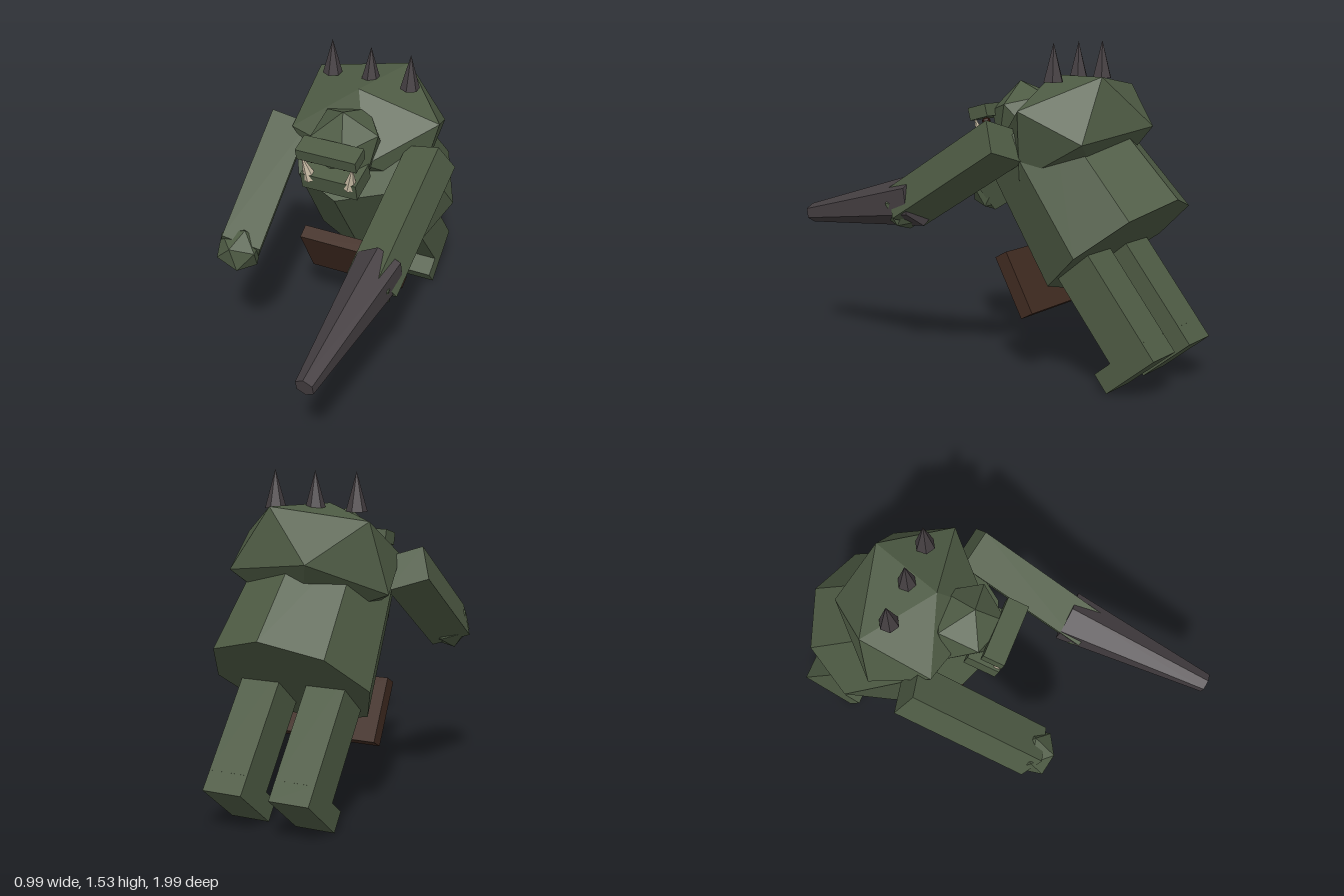
import * as THREE from 'three';

const material = (name, color) => {
  const m = new THREE.MeshStandardMaterial({ color });
  m.name = name;
  return m;
};

// Faceted copy of a geometry: one normal per face
const facet = (geometry) => {
  const g = geometry.index ? geometry.toNonIndexed() : geometry;
  g.computeVertexNormals();
  return g;
};

// Icosahedron with a vertex straight up and an upper-ring vertex on +x
const rock = () => {
  const g = new THREE.IcosahedronGeometry(1, 0);
  g.rotateX(-Math.atan((1 + Math.sqrt(5)) / 2));
  g.rotateY(Math.PI / 2);
  return facet(g);
};

const frustum = (top, bottom, height, sides) =>
  facet(new THREE.CylinderGeometry(top, bottom, height, sides));

const V = (x, y, z) => new THREE.Vector3(x, y, z);
const UP = V(0, 1, 0);

export function createModel() {
  const skin = material('green skin', 0x4e5b44);
  const leather = material('brown leather', 0x3f2a20);
  const stone = material('dark grey stone', 0x443e41);
  const ivory = material('ivory', 0xc9bca5);
  const eyeRed = material('dark red', 0x3c1a10);

  const model = new THREE.Group();
  model.name = 'ogre';
  const body = new THREE.Group();
  body.name = 'body';
  body.position.x = -0.012;
  body.rotation.y = -0.035;
  model.add(body);

  const add = (name, geometry, mat, position, pitch = 0, scale = [1, 1, 1]) => {
    const mesh = new THREE.Mesh(geometry, mat);
    mesh.name = name;
    mesh.position.set(...position);
    mesh.rotation.x = pitch;
    mesh.scale.set(...scale);
    body.add(mesh);
    return mesh;
  };
  const box = (name, size, mat, position, pitch) =>
    add(name, new THREE.BoxGeometry(...size), mat, position, pitch);

  // Tapered round part running from one point to another
  const rod = (name, from, to, r0, r1, sides, mat) => {
    const dir = to.clone().sub(from);
    const mid = from.clone().add(to).multiplyScalar(0.5);
    const mesh = add(name, frustum(r1, r0, dir.length(), sides), mat, mid.toArray());
    mesh.quaternion.setFromUnitVectors(UP, dir.normalize());
    return mesh;
  };

  // Torso leaning forward, hunched shoulders on top
  add('torso', frustum(0.32, 0.38, 0.634, 8), skin, [0, 0.866, -0.455], 0.682);
  add('shoulders', rock(), skin, [0, 1.128, -0.421], 0.5, [0.432, 0.29, 0.358]);
  box('loincloth', [0.51, 0.31, 0.07], leather, [0, 0.424, -0.247], 0.5);

  // Back spikes
  for (const x of [-0.203, 0, 0.203]) {
    add('backSpike', frustum(0, 0.048, 0.175, 6), stone, [x, 1.45, -0.425]);
  }

  // Head
  add('head', rock(), skin, [0, 1.165, -0.15], 0.26, [0.19, 0.19, 0.19]);
  box('brow', [0.305, 0.06, 0.104], skin, [0, 1.2, 0.04], 0.26);
  box('jaw', [0.285, 0.09, 0.16], skin, [0, 1.05, -0.02], 0.26);

  for (const s of [-1, 1]) {
    // Face details
    add('eye', rock(), eyeRed, [0.083 * s, 1.152, 0.04], 0.26, [0.023, 0.023, 0.023]);
    rod('tusk', V(0.102 * s, 1.045, 0.04), V(0.13 * s, 1.18, 0.078), 0.034, 0, 6, ivory);

    // Arm: a box whose long side runs from shoulder to hand, rolled outwards
    const shoulder = V(0.377 * s, 1.105, -0.285);
    const hand = V(0.342 * s, 0.745, 0.325);
    const along = hand.clone().sub(shoulder);
    const length = along.length();
    along.normalize();
    const up = along.clone().cross(V(0.93, 0.3 * s, 0.23 * s)).normalize();
    const side = up.clone().cross(along);
    const arm = box('arm', [0.19, 0.165, length], skin,
      shoulder.clone().add(hand).multiplyScalar(0.5).toArray());
    arm.quaternion.setFromRotationMatrix(new THREE.Matrix4().makeBasis(side, up, along));
    add('hand', rock(), skin, hand.toArray(), 1.05, [0.115, 0.115, 0.115]);

    // Leg and foot
    box('leg', [0.19, 0.55, 0.2], skin, [0.163 * s, 0.42, -0.68], 0.675);
    box('foot', [0.19, 0.1, 0.3], skin, [0.163 * s, 0.138, -0.841], 0.675);
  }

  // Club held in the left hand, thick end at the fist
  rod('club', V(0.346, 0.79, 0.233), V(0.319, 0.647, 0.977), 0.125, 0.047, 6, stone);

  return model;
}
